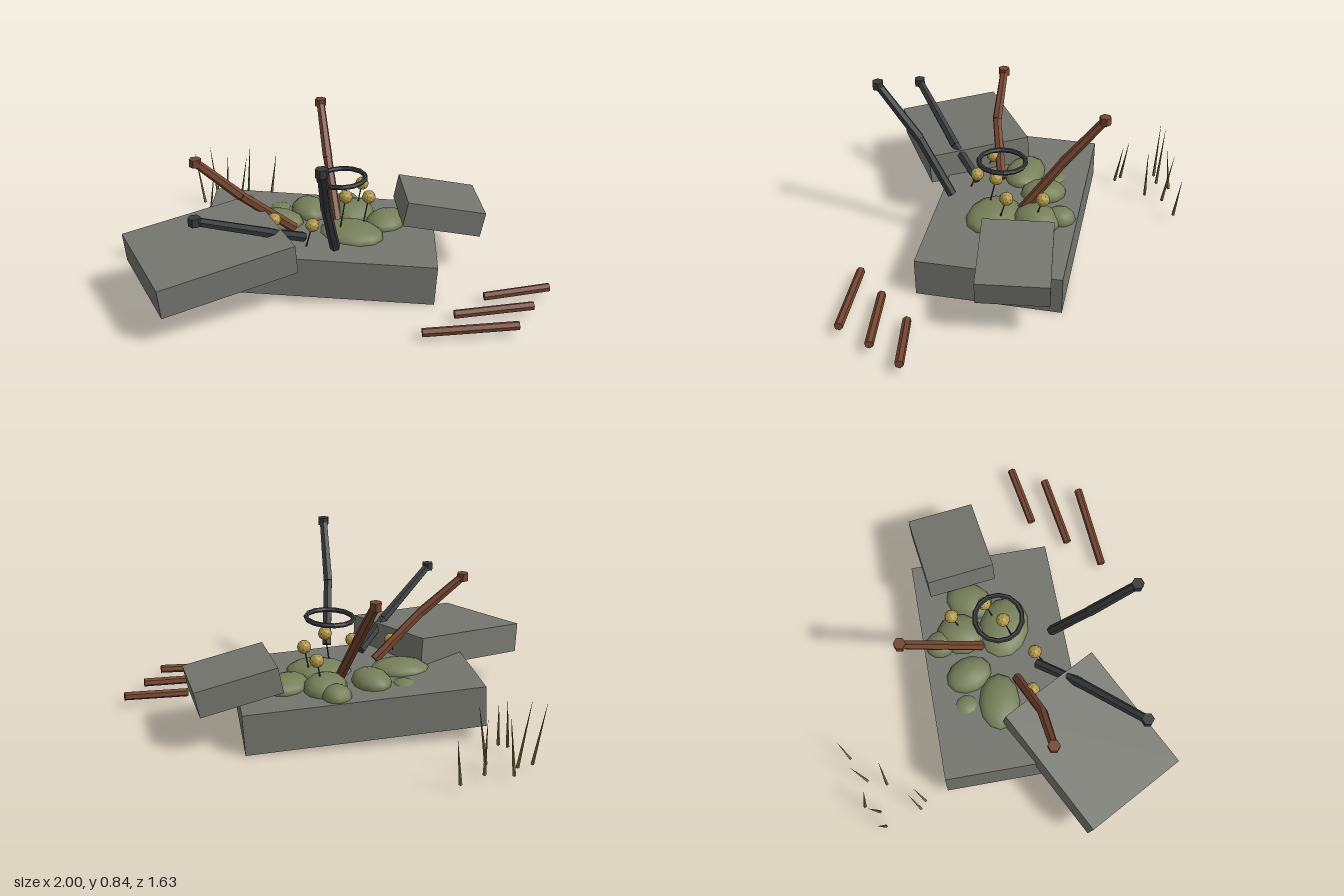
import * as THREE from 'three';

const mat = (name, color, flatShading = false) => {
  const m = new THREE.MeshStandardMaterial({ color, flatShading });
  m.name = name;
  return m;
};

export function createModel() {
  const model = new THREE.Group();
  model.name = 'ruinedStonePile';
  const stone = mat('greyStone', 0x75766f, true);
  const moss = mat('mossGreen', 0x767f59);
  const rust = mat('rustBrown', 0x74452f, true);
  const iron = mat('darkIron', 0x36393b, true);
  const gold = mat('budGold', 0xae9648, true);
  const straw = mat('dryGrass', 0x7d7645, true);

  const add = (name, geometry, material, parent = model) => {
    const mesh = new THREE.Mesh(geometry, material);
    mesh.name = name;
    parent.add(mesh);
    return mesh;
  };

  // Tapered rod between two points
  const up = new THREE.Vector3(0, 1, 0);
  const rod = (name, a, b, r0, r1, sides, material, parent) => {
    const p = new THREE.Vector3(...a), q = new THREE.Vector3(...b);
    const d = q.clone().sub(p);
    const mesh = add(name, new THREE.CylinderGeometry(r1, r0, d.length(), sides), material, parent);
    mesh.position.copy(p).add(q).multiplyScalar(0.5);
    mesh.quaternion.setFromUnitVectors(up, d.normalize());
    return mesh;
  };

  // Tilted stone blocks
  const blocks = [
    ['baseSlab', [1.13, 0.2, 0.7], [-0.15, 0.143, -0.045], [0, 0.178, -0.06]],
    ['largeFallenBlock', [0.66, 0.148, 0.53], [-0.577, 0.28, 0.396], [0.06, 0.667, 0.1]],
    ['smallFallenBlock', [0.395, 0.128, 0.335], [0.412, 0.3, -0.282], [0, 0.3, -0.2]],
  ];
  for (const [name, size, pos, [rx, ry, rz]] of blocks) {
    const b = add(name, new THREE.BoxGeometry(...size), stone);
    b.position.set(...pos);
    b.rotation.set(rx, ry, rz, 'YXZ');
  }

  // Mossy mounds: x, y, z, radii, turn
  const mounds = [
    [-0.375, 0.255, -0.035, 0.145, 0.055, 0.1, 0.05],
    [-0.235, 0.255, -0.185, 0.09, 0.06, 0.115, 0.5],
    [-0.02, 0.24, -0.23, 0.105, 0.065, 0.12, -0.2],
    [0.16, 0.23, -0.19, 0.095, 0.055, 0.12, -0.4],
    [0.015, 0.23, -0.015, 0.165, 0.06, 0.125, -0.15],
    [-0.075, 0.24, -0.33, 0.07, 0.055, 0.075, 0.2],
    [-0.39, 0.235, -0.195, 0.06, 0.035, 0.065, 0.4],
  ];
  for (const [x, y, z, a, b, c, turn] of mounds) {
    const m = add('mossMound', new THREE.SphereGeometry(1, 12, 8), moss);
    m.position.set(x, y, z);
    m.scale.set(a, b, c);
    m.rotation.y = turn;
  }

  // Bent beams: base, joint and capped tip
  const beams = [
    ['rustyBackBeam', rust, [-0.08, 0.24, -0.13], [-0.165, 0.5, -0.305], [-0.24, 0.73, -0.48]],
    ['rustyLeftBeam', rust, [-0.255, 0.27, 0.05], [-0.48, 0.475, 0.165], [-0.685, 0.65, 0.208]],
    ['ironTallBeam', iron, [-0.015, 0.28, 0.22], [-0.018, 0.565, 0.39], [0.01, 0.83, 0.585]],
    ['ironLowBeam', iron, [-0.185, 0.28, 0.15], [-0.3, 0.38, 0.325], [-0.545, 0.572, 0.638]],
  ];
  for (const [name, material, base, joint, tip] of beams) {
    const g = new THREE.Group();
    g.name = name;
    model.add(g);
    rod('lowerShaft', base, joint, 0.025, 0.023, 6, material, g);
    rod('upperShaft', joint, tip, 0.025, 0.021, 6, material, g);
    const cap = add('tipCap', new THREE.CylinderGeometry(0.029, 0.029, 0.038, 6), material, g);
    cap.position.set(...tip);
  }

  // Floating iron ring
  const ring = add('ironRing', new THREE.TorusGeometry(0.114, 0.012, 6, 14), iron);
  ring.position.set(-0.035, 0.519, -0.04);
  ring.rotation.set(Math.PI / 2, 0.04, 0);

  // Golden buds on thin stems
  const buds = [
    [0.02, 0.39, -0.27], [0.085, 0.395, -0.11], [-0.012, 0.43, -0.018],
    [-0.143, 0.34, 0.137], [-0.335, 0.345, 0.125],
  ];
  for (const [x, y, z] of buds) {
    rod('budStem', [x - 0.025, 0.23, z + 0.05], [x, y, z], 0.004, 0.003, 5, iron);
    add('goldBud', new THREE.IcosahedronGeometry(0.034, 1), gold).position.set(x, y, z);
  }

  // Loose rusty bars on the ground
  const bars = [
    [[0.69, 0.045, 0.135], [0.99, 0.068, 0.025]],
    [[0.57, 0.047, 0.325], [0.925, 0.066, 0.205]],
    [[0.445, 0.045, 0.503], [0.87, 0.066, 0.388]],
  ];
  for (const [a, b] of bars) rod('looseBar', a, b, 0.021, 0.021, 6, rust);

  // Grass blades: base x, z, tip x, z, tip height
  const blades = [
    [-0.605, -0.78, -0.58, -0.812, 0.27], [-0.717, -0.69, -0.712, -0.735, 0.32],
    [-0.735, -0.592, -0.69, -0.602, 0.33], [-0.845, -0.695, -0.82, -0.67, 0.3],
    [-0.87, -0.62, -0.91, -0.635, 0.36], [-0.94, -0.588, -0.985, -0.592, 0.33],
    [-0.855, -0.42, -0.835, -0.46, 0.28], [-0.815, -0.4, -0.8, -0.44, 0.26],
  ];
  for (const [x0, z0, x1, z1, h] of blades) {
    rod('grassBlade', [x0, 0.035, z0], [x1, h, z1], 0.008, 0.0005, 4, straw);
  }

  return model;
}
